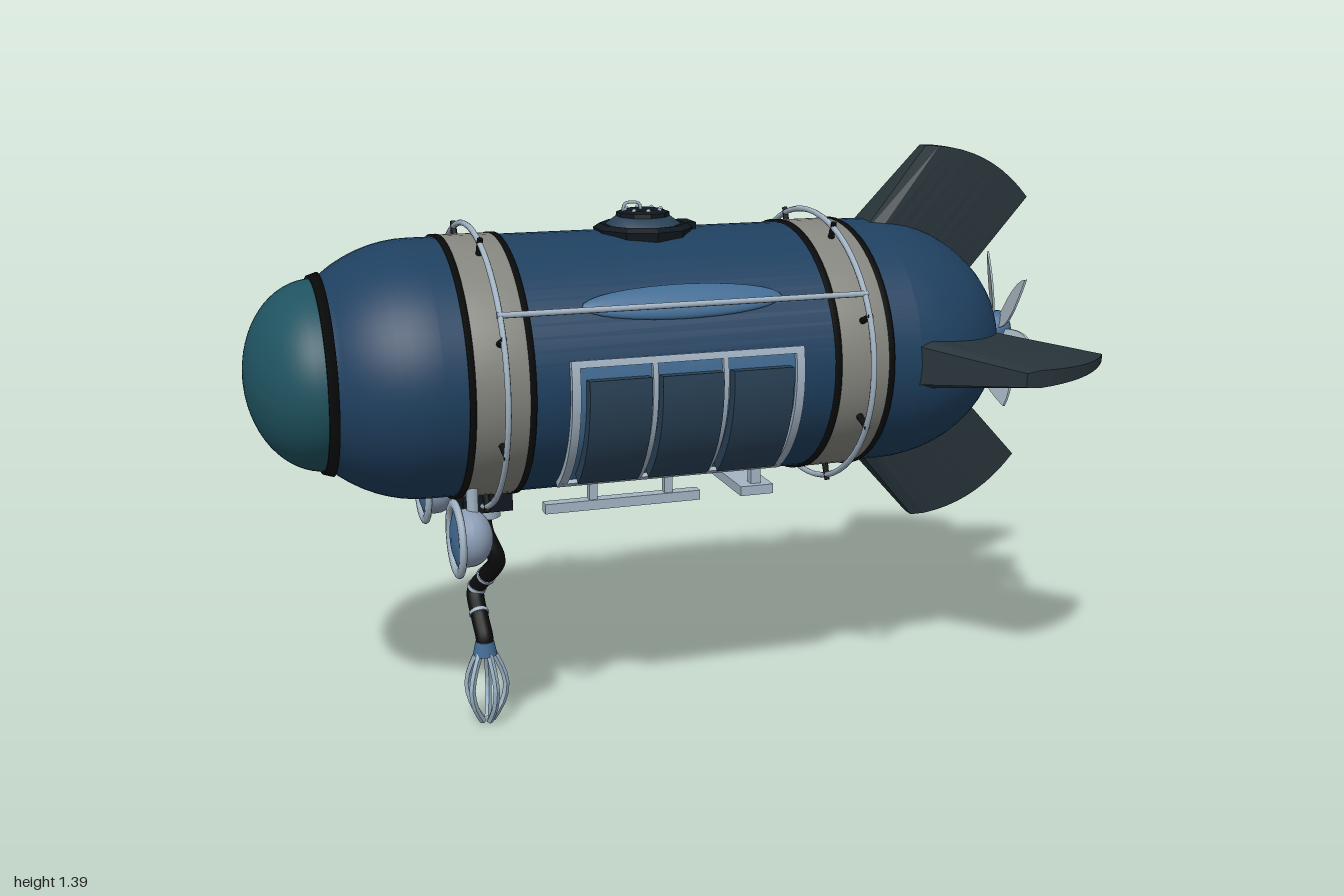
import * as THREE from 'three';

const R = 0.305, K = 1.163, CY = 0.9; // hull radius, sideways stretch, axis height
const mat = (color, opts = {}) => {
  const m = new THREE.MeshStandardMaterial(opts);
  m.color.set(color);
  return m;
};
const M = {
  hull: mat(0x1f4060), glass: mat(0x1f5360), strap: mat(0x85857f), black: mat(0x0b0c0d),
  fin: mat(0x28343a, { flatShading: true }), pale: mat(0xa3b4c4), panel: mat(0x2a4257),
  lens: mat(0x426c94), hatch: mat(0x10171d, { flatShading: true }),
  blade: mat(0xa9b7c1, { side: THREE.DoubleSide }), claw: mat(0x9bb3c6, { flatShading: true }),
  lamp: mat(0x8c9db5),
};
const V2 = (x, y) => new THREE.Vector2(x, y);
const V3 = (x, y, z) => new THREE.Vector3(x, y, z);

function add(parent, name, geo, material, x = 0, y = 0, z = 0) {
  const m = new THREE.Mesh(geo, material);
  m.name = name;
  m.position.set(x, y, z);
  parent.add(m);
  return m;
}

// Lathe around the x axis from [x, radius] pairs, stretched sideways
function latheX(pts, k = K, seg = 64) {
  return new THREE.LatheGeometry(pts.map(([x, r]) => V2(r, x)), seg).rotateZ(-Math.PI / 2).scale(1, 1, k);
}

// Quarter ellipse of [x, radius] from (x0, r0) to (x1, r1)
function dome(xFlat, xTip, r, n = 16) {
  return Array.from({ length: n + 1 }, (_, i) => {
    const a = (i / n) * Math.PI / 2;
    return [xFlat + (xTip - xFlat) * Math.sin(a), Math.max(r * Math.cos(a), 0.0001)];
  });
}

// Solid plate wrapped on the hull between two angles (degrees above the side)
function plate(x0, x1, a0, a1, r0, r1, side) {
  const g = new THREE.BoxGeometry(1, 1, 1, 1, 10, 1), p = g.attributes.position;
  if (side < 0) [a0, a1] = [180 - a1, 180 - a0];
  for (let i = 0; i < p.count; i++) {
    const a = THREE.MathUtils.degToRad(a0 + (a1 - a0) * (p.getY(i) + 0.5));
    const r = r0 + (r1 - r0) * (p.getZ(i) + 0.5);
    p.setXYZ(i, x0 + (x1 - x0) * (p.getX(i) + 0.5), r * Math.sin(a), r * Math.cos(a) * K);
  }
  g.computeVertexNormals();
  return g;
}

// Tapered fin: box vertices moved onto chord, span and thickness
function finGeometry() {
  const g = new THREE.BoxGeometry(1, 1, 1, 10, 1, 1), p = g.attributes.position;
  const lerp = THREE.MathUtils.lerp;
  for (let i = 0; i < p.count; i++) {
    const u = p.getX(i) + 0.5, v = p.getY(i) + 0.5, bulge = 4 * u * (1 - u) * 0.034 * v;
    const x = lerp(lerp(0.48, 0.81, u), lerp(0.7, 1, u), v) + bulge * 0.45;
    const y = lerp(lerp(0.235, 0.15, u), lerp(0.485, 0.345, u), v) + bulge;
    const t = lerp(lerp(0.075, 0.035, u), lerp(0.022, 0.009, u), v) * (u < 0.05 ? 0.75 : 1);
    p.setXYZ(i, x, y, Math.sign(p.getZ(i)) * t);
  }
  g.computeVertexNormals();
  return g;
}

// Cupped, twisted propeller blade pointing along +y
function bladeGeometry() {
  const s = new THREE.Shape();
  s.moveTo(-0.014, 0.03);
  s.bezierCurveTo(-0.055, 0.08, -0.06, 0.13, 0.012, 0.205);
  s.bezierCurveTo(0.05, 0.15, 0.045, 0.09, 0.014, 0.03);
  const g = new THREE.ExtrudeGeometry(s, { depth: 0.006, bevelEnabled: false, curveSegments: 10 });
  const p = g.attributes.position;
  for (let i = 0; i < p.count; i++) p.setZ(i, p.getZ(i) + p.getX(i) * 0.45 - 0.003);
  g.computeVertexNormals();
  return g.rotateY(Math.PI / 2);
}

function addHull(g) {
  const nose = dome(-0.6, -0.92, R).filter(([x]) => x > -0.83).reverse();
  add(g, 'hull', latheX([[-0.83, 0.222], ...nose, [0.54, R], ...dome(0.54, 0.885, R)]), M.hull);
  add(g, 'noseWindow', latheX(dome(-0.83, -1, 0.222).reverse()), M.glass);
  add(g, 'noseSeal', latheX([[-0.838, 0.2], [-0.838, 0.229], [-0.816, 0.236], [-0.816, 0.2]]), M.black);
  for (const [a, b] of [[-0.54, -0.405], [0.325, 0.46]]) {
    const c = (a + b) / 2, r = R + 0.004;
    add(g, 'strap', latheX([[a, R - 0.01], [a, r], [b, r], [b, R - 0.01]]), M.strap);
    for (const e of [a, b])
      add(g, 'strapEdge', latheX([[e - 0.007, R - 0.01], [e - 0.007, r + 0.002], [e + 0.007, r + 0.002], [e + 0.007, R - 0.01]]), M.black);
    // Guard hoop on short studs
    add(g, 'guardHoop', new THREE.TorusGeometry(0.334, 0.007, 8, 64).rotateY(Math.PI / 2).scale(1, 1, 1.21), M.pale, c);
    for (let i = 0; i < 8; i++) {
      const t = (i + 0.5) * Math.PI / 4;
      const stud = add(g, 'hoopStud', new THREE.CylinderGeometry(0.007, 0.009, 0.06, 8), M.black,
        c, 0.318 * Math.cos(t), 0.378 * Math.sin(t));
      stud.rotation.x = t;
    }
  }
}

function addSide(g, s) {
  const rail = new THREE.CylinderGeometry(0.007, 0.007, 0.88, 8).rotateZ(Math.PI / 2);
  add(g, 'sideRail', rail, M.pale, -0.04, 0.18, s * 0.342);
  // Long oval window lying on the hull
  const win = add(g, 'ovalWindow', new THREE.SphereGeometry(1, 32, 16).scale(0.24, 0.044, 0.018), M.lens, -0.035, 0.178, s * 0.292);
  win.rotation.x = -s * 0.68;
  if (s < 0) win.rotation.x += Math.PI;
  // Framed bay with three raised covers
  add(g, 'bayBack', plate(-0.31, 0.225, -51, 12, 0.3, 0.309, s), M.lens);
  for (const [x0, x1, a0, a1] of [[-0.32, 0.235, 10, 13], [-0.32, 0.235, -54, -50.5],
    [-0.32, -0.3, -54, 13], [0.215, 0.235, -54, 13], [-0.132, -0.12, -52, 12], [0.036, 0.048, -52, 12]])
    add(g, 'bayFrame', plate(x0, x1, a0, a1, 0.3, 0.319, s), M.pale);
  for (let i = 0; i < 3; i++)
    add(g, 'bayCover', plate(-0.285 + i * 0.17, -0.14 + i * 0.17, -45, 5, 0.3, 0.335, s), M.panel);
}

function addTail(g) {
  for (let i = 0; i < 4; i++)
    add(g, 'tailFin', finGeometry().rotateX(i * Math.PI / 2).scale(1, 1, i % 2 ? K : 1), M.fin);
  const prop = new THREE.Group();
  prop.name = 'propeller';
  prop.position.x = 0.93;
  g.add(prop);
  add(prop, 'hub', latheX([[-0.07, 0.03], [-0.02, 0.03], [-0.02, 0.048], [0.015, 0.048], [0.03, 0.035], [0.036, 0.0001]], 1, 24), M.lens);
  for (let i = 0; i < 6; i++)
    add(prop, 'blade', bladeGeometry(), M.blade).rotation.x = i * Math.PI / 3 - 0.25;
}

function addHatch(g) {
  const h = new THREE.Group();
  h.name = 'topHatch';
  h.position.set(-0.04, R, 0);
  g.add(h);
  const ring = (name, pts, m) => add(h, name, new THREE.LatheGeometry(pts.map(p => V2(...p)), 10), m);
  ring('hatchBase', [[0.115, -0.03], [0.12, 0.005], [0.105, 0.015], [0.085, 0.012]], M.hatch);
  ring('hatchCollar', [[0.095, 0], [0.09, 0.015], [0.066, 0.032], [0.0001, 0.032]], M.panel);
  ring('hatchLid', [[0.066, 0.025], [0.064, 0.042], [0.045, 0.048], [0.0001, 0.048]], M.hatch);
  for (let i = 0; i < 8; i++) {
    const a = i * Math.PI / 4;
    add(h, 'hatchBolt', new THREE.SphereGeometry(0.006, 8, 6), M.pale, 0.045 * Math.cos(a), 0.047, 0.045 * Math.sin(a));
  }
  const grip = new THREE.CatmullRomCurve3([V3(-0.05, 0.04, 0), V3(-0.045, 0.062, 0), V3(-0.01, 0.062, 0), V3(-0.005, 0.045, 0)]);
  add(h, 'hatchHandle', new THREE.TubeGeometry(grip, 16, 0.004, 6), M.pale);
  add(h, 'hatchHinge', new THREE.BoxGeometry(0.03, 0.02, 0.07), M.hatch, 0.11, 0.005, -0.005);
}

function addUnderside(g) {
  // Headlights
  for (const s of [1, -1]) {
    const l = new THREE.Group();
    l.name = 'headlight';
    l.position.set(-0.56, 0.54 - CY, s * 0.215);
    g.add(l);
    add(l, 'lampBody', latheX([[0, 0.068], [0.03, 0.068], ...dome(0.03, 0.085, 0.068, 8)], 1, 32), M.lamp);
    add(l, 'lampRim', new THREE.TorusGeometry(0.08, 0.013, 10, 40).rotateY(Math.PI / 2).scale(0.7, 1, 1), M.pale);
    add(l, 'lampLens', latheX([[-0.012, 0.0001], [-0.008, 0.04], [0.002, 0.07]], 1, 32), M.lens);
    add(l, 'lampPost', new THREE.CylinderGeometry(0.014, 0.014, 0.09, 12), M.pale, 0.04, 0.085, 0);
  }
  // Skid bars with short legs
  for (const s of [1, -1]) {
    add(g, 'skidBar', new THREE.BoxGeometry(0.39, 0.024, 0.03), M.pale, -0.135, -0.333, s * 0.13);
    for (const x of [-0.21, -0.02])
      add(g, 'skidLeg', new THREE.BoxGeometry(0.02, 0.06, 0.02), M.pale, x, -0.3, s * 0.13);
    add(g, 'rearSkidLeg', new THREE.BoxGeometry(0.025, 0.06, 0.025), M.pale, 0.21, -0.3, s * 0.12);
  }
  add(g, 'rearSkidBar', new THREE.BoxGeometry(0.085, 0.024, 0.3), M.pale, 0.207, -0.333, 0);
}

function addArm(g) {
  const arm = new THREE.Group();
  arm.name = 'gripperArm';
  arm.position.y = -CY;
  g.add(arm);
  add(arm, 'armMount', new THREE.BoxGeometry(0.12, 0.05, 0.17), M.hatch, -0.46, 0.585, 0.02);
  add(arm, 'armFlange', new THREE.CylinderGeometry(0.04, 0.04, 0.03, 16), M.pale, -0.455, 0.545, 0.03);
  const path = new THREE.CatmullRomCurve3([V3(-0.46, 0.55, 0.025), V3(-0.455, 0.49, 0.035), V3(-0.43, 0.42, 0.045),
    V3(-0.445, 0.365, -0.005), V3(-0.467, 0.315, -0.04), V3(-0.468, 0.26, 0.01), V3(-0.465, 0.22, 0.042), V3(-0.465, 0.19, 0.045)]);
  add(arm, 'armHose', new THREE.TubeGeometry(path, 60, 0.022, 12), M.black);
  for (const t of [0.5, 0.62, 0.78]) {
    const c = add(arm, 'armBand', new THREE.CylinderGeometry(0.0245, 0.0245, 0.009, 16), M.pale);
    c.position.copy(path.getPointAt(t));
    c.quaternion.setFromUnitVectors(V3(0, 1, 0), path.getTangentAt(t));
  }
  add(arm, 'wrist', new THREE.CylinderGeometry(0.023, 0.03, 0.035, 10), M.lens, -0.465, 0.195, 0.045);
  // Five curved fingers closing at the bottom
  const finger = new THREE.CatmullRomCurve3([V3(0.016, 0.19, 0), V3(0.036, 0.15, 0), V3(0.051, 0.095, 0), V3(0.04, 0.045, 0), V3(0.014, 0.003, 0)]);
  for (let i = 0; i < 5; i++)
    add(arm, 'finger', new THREE.TubeGeometry(finger, 8, 0.0085, 5), M.claw, -0.465, 0, 0.045).rotation.y = i * Math.PI * 0.4;
}

export function createModel() {
  const model = new THREE.Group();
  model.name = 'submarine';
  const g = new THREE.Group();
  g.name = 'vessel';
  g.position.y = CY;
  model.add(g);
  addHull(g);
  for (const s of [1, -1]) addSide(g, s);
  addTail(g);
  addHatch(g);
  addUnderside(g);
  addArm(g);
  return model;
}
